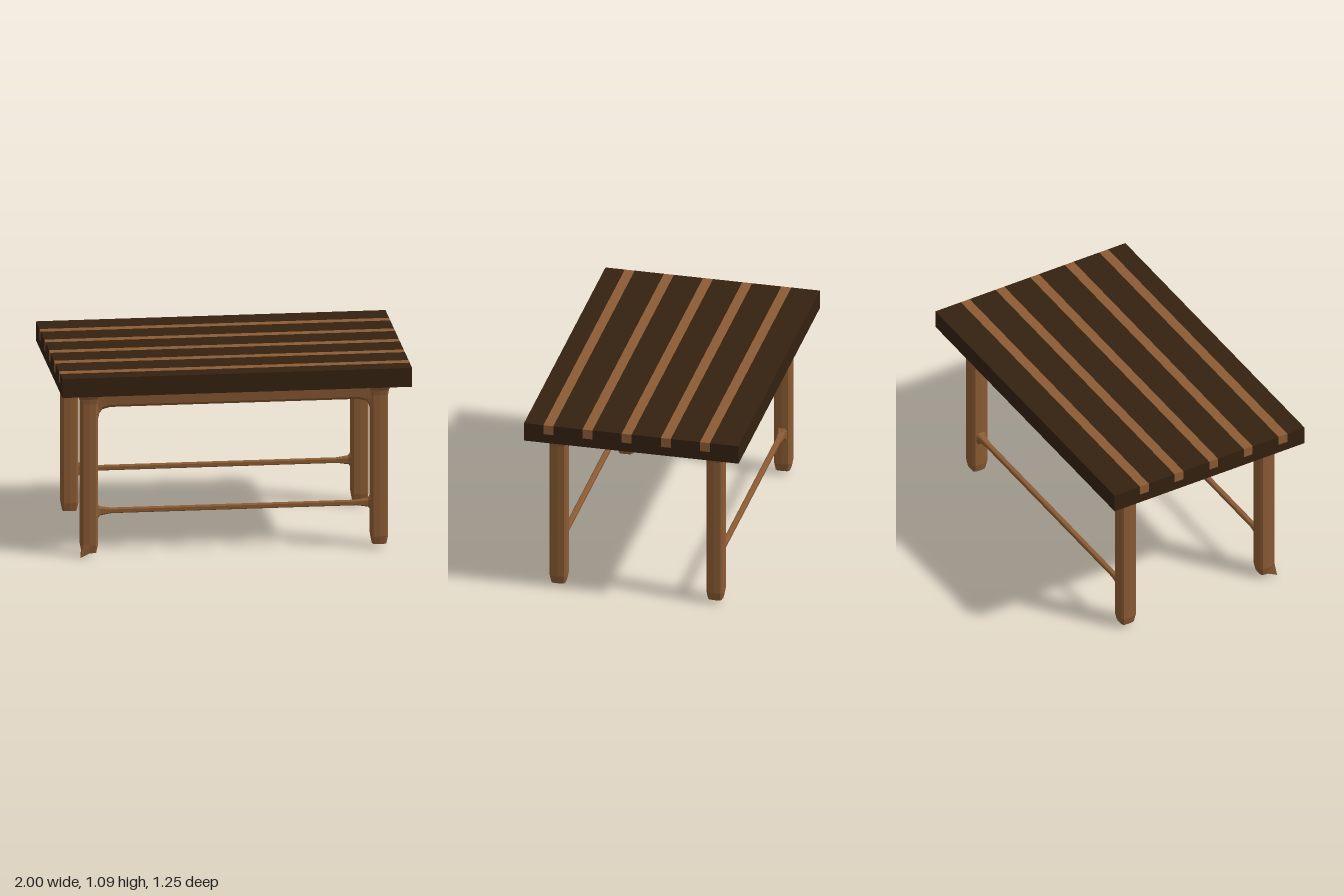
import * as THREE from 'three';

// Skins a row of closed cross-sections and caps both ends, with flat facets
function loft(rings) {
  const n = rings[0].length, pos = [], idx = [];
  rings.forEach(r => r.forEach(p => pos.push(...p)));
  for (let i = 0; i < rings.length - 1; i++)
    for (let j = 0; j < n; j++) {
      const k = (j + 1) % n, a = i * n + j, b = i * n + k;
      idx.push(a, b, b + n, a, b + n, a + n);
    }
  const last = (rings.length - 1) * n;
  for (let j = 1; j < n - 1; j++) {
    idx.push(0, j + 1, j);
    idx.push(last, last + j, last + j + 1);
  }
  const g = new THREE.BufferGeometry();
  g.setAttribute('position', new THREE.Float32BufferAttribute(pos, 3));
  g.setIndex(idx);
  const flat = g.toNonIndexed();
  flat.computeVertexNormals();
  return flat;
}

// Softened square section of a leg, counter-clockwise from above
const section = [];
for (let q = 0; q < 4; q++) {
  const c = [1, 0, -1, 0][q], s = [0, 1, 0, -1][q];
  for (const [u, v] of [[0.051, 0], [0.048, 0.037], [0.037, 0.048]])
    section.push([u * c - v * s, -(u * s + v * c)]);
}

// [height, scale] from foot to flared head
const legProfile = [
  [0.012, 0.15], [0.022, 0.82], [0.07, 1], [0.9, 1],
  [0.93, 1.1], [0.958, 1.35], [0.978, 1.95],
];

function legGeometry(worn) {
  return loft(legProfile.map(([y, s], i) => section.map(([x, z]) => {
    // one foot keeps a sharp outer corner
    if (worn && i === 1 && x < -0.03 && z > 0.03) return [-0.054, 0, 0.054];
    return [x * s, y, z * s];
  })));
}

// Stretcher that swells where it meets the legs: [x, half height, half depth]
function railGeometry() {
  const half = [[0.7, 0.014, 0.015], [0.765, 0.023, 0.021], [0.79, 0.05, 0.034]];
  const all = [...half.map(([x, h, d]) => [-x, h, d]).reverse(), ...half];
  return loft(all.map(([x, h, d]) => {
    const b = 0.65;
    return [[h, -d * b], [h, d * b], [h * b, d], [-h * b, d],
      [-h, d * b], [-h, -d * b], [-h * b, -d], [h * b, -d]]
      .map(([y, z]) => [x, 0.26 + y, z]);
  }));
}

// Apron with curved corners against the legs: [x, underside height]
function apronGeometry() {
  const half = [[0.71, 0.875], [0.755, 0.863], [0.772, 0.84], [0.785, 0.78]];
  const all = [...half.map(([x, y]) => [-x, y]).reverse(), ...half];
  return loft(all.map(([x, y]) =>
    [[0.978, -0.06], [0.978, 0.06], [0.958, 0.042], [y + 0.015, 0.034], [y, 0.022],
      [y, -0.022], [y + 0.015, -0.034], [0.958, -0.042]]
      .map(([py, pz]) => [x, py, pz])));
}

export function createModel() {
  const model = new THREE.Group();
  const darkWood = new THREE.MeshStandardMaterial({ color: 0x342110 });
  darkWood.name = 'dark wood';
  const lightWood = new THREE.MeshStandardMaterial({ color: 0x8c5c34 });
  lightWood.name = 'light wood';

  function add(name, geometry, material, x = 0, y = 0, z = 0, parent = model) {
    const mesh = new THREE.Mesh(geometry, material);
    mesh.name = name;
    mesh.position.set(x, y, z);
    parent.add(mesh);
    return mesh;
  }

  // Table top: a solid base with planks and inlaid strips side by side
  const top = new THREE.Group();
  top.name = 'tableTop';
  model.add(top);
  const y0 = 0.976, y1 = 1.03, y2 = 1.087, edge = 0.626;
  add('topBase', new THREE.BoxGeometry(2, y1 - y0, edge * 2), darkWood, 0, (y0 + y1) / 2, 0, top);
  const bar = (name, material, z0, z1) =>
    add(name, new THREE.BoxGeometry(2, y2 - y1, z1 - z0), material, 0, (y1 + y2) / 2, (z0 + z1) / 2, top);
  let from = -edge;
  for (let i = 0; i < 5; i++) {
    const z = -0.43 + i * 0.2285;
    bar('plank', darkWood, from, z - 0.029);
    bar('inlayStrip', lightWood, z - 0.029, z + 0.029);
    from = z + 0.029;
  }
  bar('plank', darkWood, from, edge);

  // Two leg frames, each with a pair of legs, an apron and a stretcher
  for (const [side, z] of [['front', 0.46], ['back', -0.455]]) {
    const frame = new THREE.Group();
    frame.name = side + 'Frame';
    frame.position.z = z;
    model.add(frame);
    for (const s of [-1, 1])
      add(side + (s > 0 ? 'LeftLeg' : 'RightLeg'), legGeometry(side === 'front' && s < 0),
        lightWood, s * 0.83, 0, 0, frame);
    add(side + 'Apron', apronGeometry(), lightWood, 0, 0, 0, frame);
    add(side + 'Stretcher', railGeometry(), lightWood, 0, 0, 0, frame);
  }
  return model;
}
